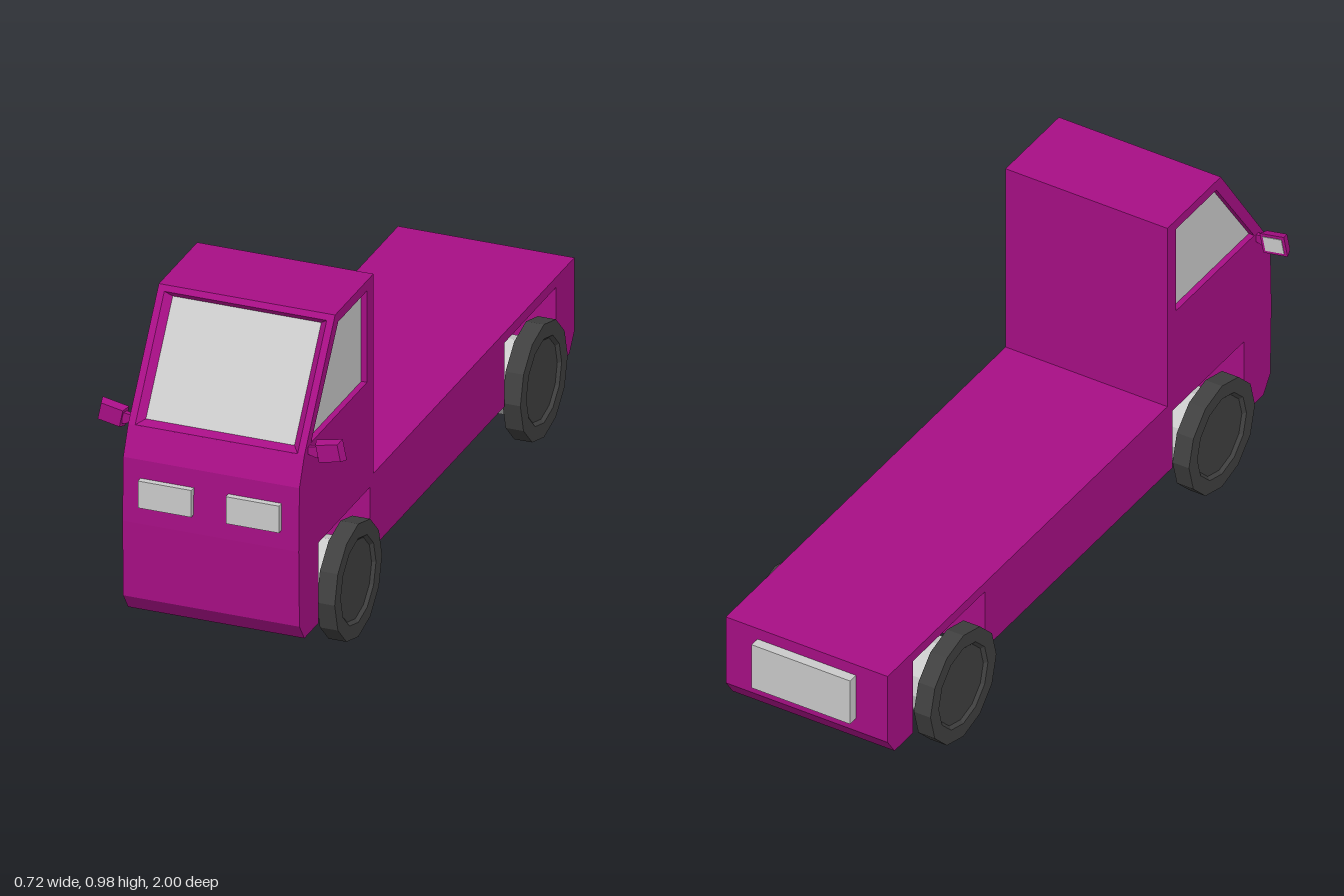
import * as THREE from 'three';

const mat = (color) => new THREE.MeshStandardMaterial({ color, flatShading: true });
const paint = mat(0xa80f86);
const grey = mat(0xcccccc);
const rubber = mat(0x404040);

const HALF = 0.255;   // half width of the body
const CORE = 0.235;   // half width inside the side panels

function add(parent, name, geometry, material, x = 0, y = 0, z = 0) {
  const mesh = new THREE.Mesh(geometry, material);
  mesh.name = name;
  mesh.position.set(x, y, z);
  parent.add(mesh);
  return mesh;
}

const vectors = (pts) => pts.map(([a, b]) => new THREE.Vector2(a, b));

// Extrudes a (z, y) outline across x, from x0 to x1
function acrossX(pts, x0, x1, hole) {
  const shape = new THREE.Shape(vectors(pts));
  if (hole) shape.holes.push(new THREE.Path(vectors(hole)));
  const g = new THREE.ExtrudeGeometry(shape, { depth: x1 - x0, bevelEnabled: false });
  return g.rotateY(-Math.PI / 2).translate(x1, 0, 0);
}

// Side outline of cab and flat bed; the windscreen edge is passed in
function outline(screen) {
  return [
    [0.98, 0.165], [0.985, 0.39], [0.98, 0.578], ...screen,
    [0.455, 0.98], [0.455, 0.385], [-0.97, 0.385], [-0.97, 0.165],
    [-0.935, 0.115], [-0.84, 0.115], [-0.84, 0.355], [-0.475, 0.355],
    [-0.475, 0.165], [0.48, 0.165], [0.48, 0.355], [0.845, 0.355],
    [0.845, 0.115], [0.945, 0.115],
  ];
}

// Rectangle on the sloping windscreen plane, pushed in by depth
function screenLoop(w, top, bottom, depth) {
  const p = (x, y) => [x, y, 0.727 + (0.98 - y) * 0.681 - depth];
  return [p(-w, bottom), p(w, bottom), p(w, top), p(-w, top)];
}

// Joins successive four-cornered loops, optionally closing the last one
function loopGeometry(loops, cap) {
  const index = [];
  for (let l = 0; l < loops.length - 1; l++) {
    for (let i = 0; i < 4; i++) {
      const a = l * 4 + i, b = l * 4 + (i + 1) % 4;
      index.push(a, b, b + 4, a, b + 4, a + 4);
    }
  }
  if (cap) {
    const k = (loops.length - 1) * 4;
    index.push(k, k + 1, k + 2, k, k + 2, k + 3);
  }
  const g = new THREE.BufferGeometry();
  g.setAttribute('position', new THREE.Float32BufferAttribute(loops.flat(2), 3));
  g.setIndex(index);
  g.computeVertexNormals();
  return g;
}

function makeWheel(side) {
  const profile = vectors([
    [0, 0], [0.168, 0], [0.168, 0.052], [0.125, 0.052], [0.116, 0.043], [0, 0.043],
  ]);
  const wheel = new THREE.Mesh(new THREE.LatheGeometry(profile, 12), rubber);
  wheel.name = 'wheel';
  wheel.rotation.z = -side * Math.PI / 2;
  wheel.position.x = side * 0.245;
  return wheel;
}

function makeMirror() {
  const mirror = new THREE.Group();
  mirror.name = 'wingMirror';
  // Housing, narrower towards the front
  const housing = new THREE.BoxGeometry(0.078, 0.061, 0.026);
  const p = housing.attributes.position;
  for (let i = 0; i < p.count; i++) {
    if (p.getZ(i) > 0) p.setXY(i, p.getX(i) * 0.82, p.getY(i) * 0.82);
  }
  const head = new THREE.Group();
  head.name = 'mirrorHead';
  head.position.set(0.315, 0.667, 0.912);
  head.rotation.z = 0.2;
  add(head, 'mirrorHousing', housing, paint);
  add(head, 'mirrorGlass', new THREE.BoxGeometry(0.06, 0.044, 0.004), grey, 0, 0, -0.013);
  mirror.add(head);
  // Tapered arm to the door
  const arm = add(mirror, 'mirrorArm', new THREE.CylinderGeometry(0.024, 0.014, 0.035, 4, 1)
    .rotateY(Math.PI / 4).scale(1, 1, 0.5), paint, 0.265, 0.662, 0.912);
  arm.rotation.z = -Math.PI / 2;
  return mirror;
}

export function createModel() {
  const truck = new THREE.Group();
  truck.name = 'flatbedTruck';

  // Body: core with a recessed windscreen slope, plus side panels with window openings
  add(truck, 'bodyCore',
    acrossX(outline([[0.945, 0.66], [0.921, 0.66], [0.703, 0.98]]), -CORE, CORE), paint);
  const sideWindow = [[0.5, 0.95], [0.705, 0.95], [0.897, 0.677], [0.5, 0.677]];
  const panel = outline([[0.945, 0.66], [0.727, 0.98]]);
  for (const side of [-1, 1]) {
    const span = (a, b) => (side > 0 ? [a, b] : [-b, -a]);
    add(truck, 'sidePanel', acrossX(panel, ...span(CORE, HALF), sideWindow), paint);
    add(truck, 'sideWindow', acrossX(sideWindow, ...span(CORE - 0.004, CORE + 0.003)), grey);
  }

  // Windscreen with a bevelled surround
  const inner = screenLoop(0.215, 0.95, 0.67, 0.021);
  add(truck, 'windscreenFrame', loopGeometry([
    screenLoop(CORE, 0.98, 0.66, 0.024),
    screenLoop(CORE, 0.98, 0.66, 0),
    screenLoop(CORE, 0.965, 0.661, 0),
    inner,
  ]), paint);
  add(truck, 'windscreen', loopGeometry([inner], true), grey);

  // Lamps and rear plate
  for (const side of [-1, 1]) {
    add(truck, 'headlight', new THREE.BoxGeometry(0.154, 0.08, 0.03), grey,
      side * 0.127, 0.484, 0.985);
  }
  add(truck, 'rearPlate', new THREE.BoxGeometry(0.31, 0.144, 0.04), grey, 0, 0.278, -0.98);

  // Axles and wheels
  for (const z of [0.665, -0.652]) {
    const axle = new THREE.Group();
    axle.name = z > 0 ? 'frontAxle' : 'rearAxle';
    axle.position.set(0, 0.169, z);
    add(axle, 'axleTube', new THREE.CylinderGeometry(0.108, 0.108, 0.5, 12)
      .rotateZ(Math.PI / 2), grey);
    axle.add(makeWheel(1), makeWheel(-1));
    truck.add(axle);
  }

  // Mirrors
  const left = makeMirror();
  const right = makeMirror();
  right.scale.x = -1;
  truck.add(left, right);

  return truck;
}
